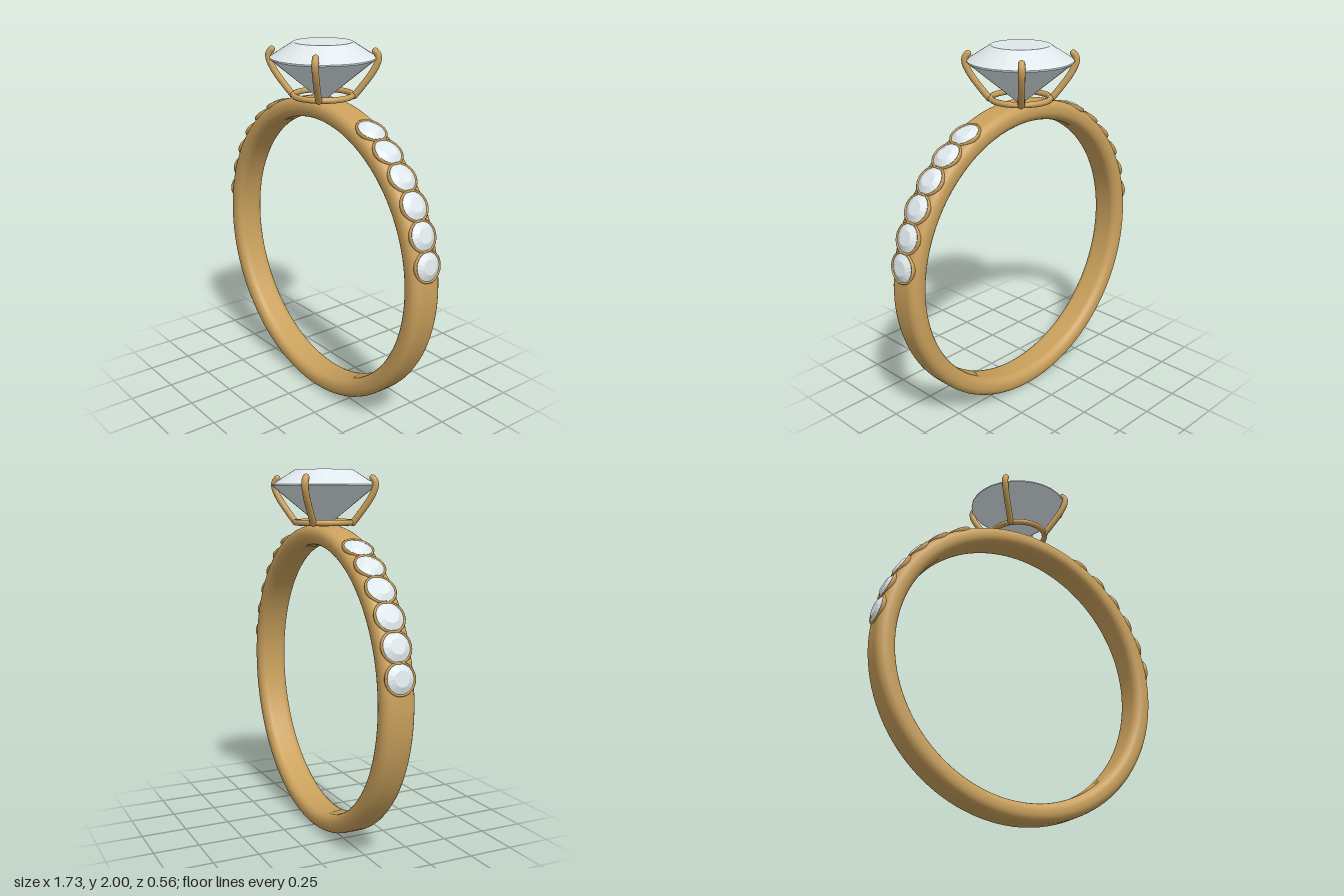
import * as THREE from 'three';

const gold = new THREE.MeshStandardMaterial({ color: 0xc9a05c });
const crystal = new THREE.MeshStandardMaterial({ color: 0xdfe8ec, flatShading: true });

const R = 0.853;      // outer radius of the band, also its centre height
const INNER = 0.748;  // inner radius of the band
const HALF = 0.09;    // half width of the band

const lathe = (pts, sides) =>
  new THREE.LatheGeometry(pts.map(([x, y]) => new THREE.Vector2(x, y)), sides);

function add(parent, name, geometry, material) {
  const mesh = new THREE.Mesh(geometry, material);
  mesh.name = name;
  parent.add(mesh);
  return mesh;
}

// Rounded rectangle cross-section, counter-clockwise, seam on the flat inner face
function bandProfile() {
  const r = 0.046, pts = [[INNER, 0]];
  const corners = [
    [INNER + r, -HALF + r, Math.PI],
    [R - r, -HALF + r, Math.PI * 1.5],
    [R - r, HALF - r, 0],
    [INNER + r, HALF - r, Math.PI * 0.5],
  ];
  for (const [cx, cy, start] of corners) {
    for (let i = 0; i <= 6; i++) {
      const a = start + (i / 6) * Math.PI / 2;
      pts.push([cx + r * Math.cos(a), cy + r * Math.sin(a)]);
    }
  }
  pts.push([INNER, 0]);
  return pts;
}

// Small stone in a cup-shaped setting, facing +y with its rim at y = 0
function sideStone() {
  const g = new THREE.Group();
  g.name = 'sideStone';
  const cup = [[0, -0.05], [0.055, -0.048], [0.07, -0.035], [0.08, -0.016], [0.084, -0.004],
    [0.083, 0.003], [0.079, 0.006], [0.074, 0.004], [0.071, -0.004]];
  add(g, 'stoneCup', lathe(cup, 32), gold);
  add(g, 'smallStone', lathe([[0, -0.03], [0.074, 0], [0.04, 0.018], [0, 0.018]], 16), crystal);
  return g;
}

export function createModel() {
  const model = new THREE.Group();
  model.name = 'ring';

  // Band
  const band = add(model, 'band', lathe(bandProfile(), 128), gold);
  band.rotation.x = Math.PI / 2;
  band.position.y = R;

  // Six small stones along each shoulder
  for (const side of [1, -1]) {
    for (let i = 0; i < 6; i++) {
      const a = THREE.MathUtils.degToRad(11 + i * 10.2);
      const stone = sideStone();
      stone.position.set(side * R * Math.cos(a), R + R * Math.sin(a), 0);
      stone.rotation.z = side * (a - Math.PI / 2);
      model.add(stone);
    }
  }

  // Main stone: pointed pavilion, thin girdle, crown and flat table
  const gem = [[0, 1.685], [0.28, 1.915], [0.28, 1.922], [0.157, 2], [0, 2]];
  add(model, 'mainStone', lathe(gem, 28), crystal);

  // Base ring under the main stone
  const base = add(model, 'baseRing', new THREE.TorusGeometry(0.157, 0.016, 12, 64), gold);
  base.rotation.x = Math.PI / 2;
  base.position.y = 1.721;

  // Four prongs rising from the base ring and hooking over the girdle
  const path = new THREE.CatmullRomCurve3(
    [[0.165, 1.72], [0.205, 1.77], [0.262, 1.85], [0.287, 1.905], [0.287, 1.935], [0.272, 1.955]]
      .map(([x, y]) => new THREE.Vector3(x, y, 0)));
  const tube = new THREE.TubeGeometry(path, 32, 0.018, 12);
  const tip = new THREE.SphereGeometry(0.018, 12, 8);
  for (let i = 0; i < 4; i++) {
    const prong = new THREE.Group();
    prong.name = 'prong';
    prong.rotation.y = Math.PI / 4 + i * Math.PI / 2;
    add(prong, 'prongShaft', tube, gold);
    for (const t of [0, 1]) add(prong, 'prongEnd', tip, gold).position.copy(path.getPoint(t));
    model.add(prong);
  }
  return model;
}
